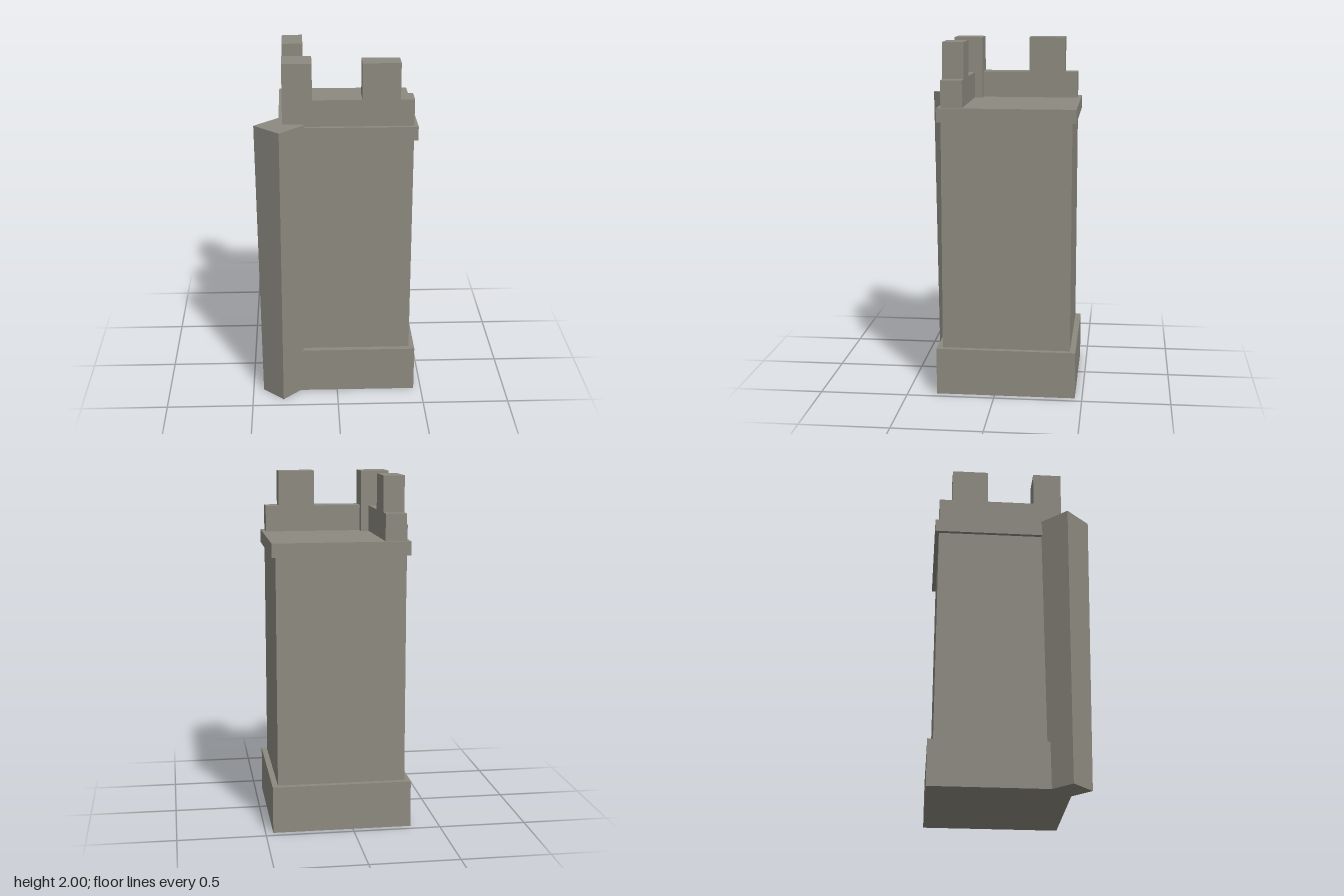
import * as THREE from 'three';

export function createModel() {
  const model = new THREE.Group();
  model.name = 'cornerTower';
  const stone = new THREE.MeshStandardMaterial({ color: 0x8d8a80, flatShading: true });
  stone.name = 'stone';

  // Box given by its extents on each axis
  function block(name, [x0, x1], [y0, y1], [z0, z1]) {
    const mesh = new THREE.Mesh(new THREE.BoxGeometry(x1 - x0, y1 - y0, z1 - z0), stone);
    mesh.position.set((x0 + x1) / 2, (y0 + y1) / 2, (z0 + z1) / 2);
    mesh.name = name;
    model.add(mesh);
  }

  // Square tower: plinth, shaft and cornice share one axis
  const cx = 0.061, cz = -0.063;
  const tiers = [
    ['plinth', 0.396, 0, 0.268],
    ['shaft', 0.364, 0.268, 1.567],
    ['cornice', 0.386, 1.567, 1.645],
  ];
  for (const [name, h, y0, y1] of tiers) {
    block(name, [cx - h, cx + h], [y0, y1], [cz - h, cz + h]);
  }

  // Parapet walls on the front and right sides
  const wallY = [1.645, 1.796], merlonY = [1.796, 2];
  block('frontParapet', [-0.303, 0.425], wallY, [0.181, 0.301]);
  block('sideParapet', [-0.303, -0.184], wallY, [-0.427, 0.181]);

  // Merlons: a larger square one at the corner, one on each wall
  block('cornerMerlon', [-0.303, -0.138], [1.645, 2], [0.135, 0.301]);
  block('frontMerlon', [0.137, 0.348], merlonY, [0.181, 0.301]);
  block('sideMerlon', [-0.303, -0.184], merlonY, [-0.352, -0.14]);

  // Diagonal corner buttress, widening slightly upwards
  const buttress = new THREE.Mesh(new THREE.CylinderGeometry(0.14, 0.119, 1.66, 4), stone);
  buttress.position.set(-0.32, 0.83, 0.317);
  buttress.name = 'cornerButtress';
  model.add(buttress);

  return model;
}
